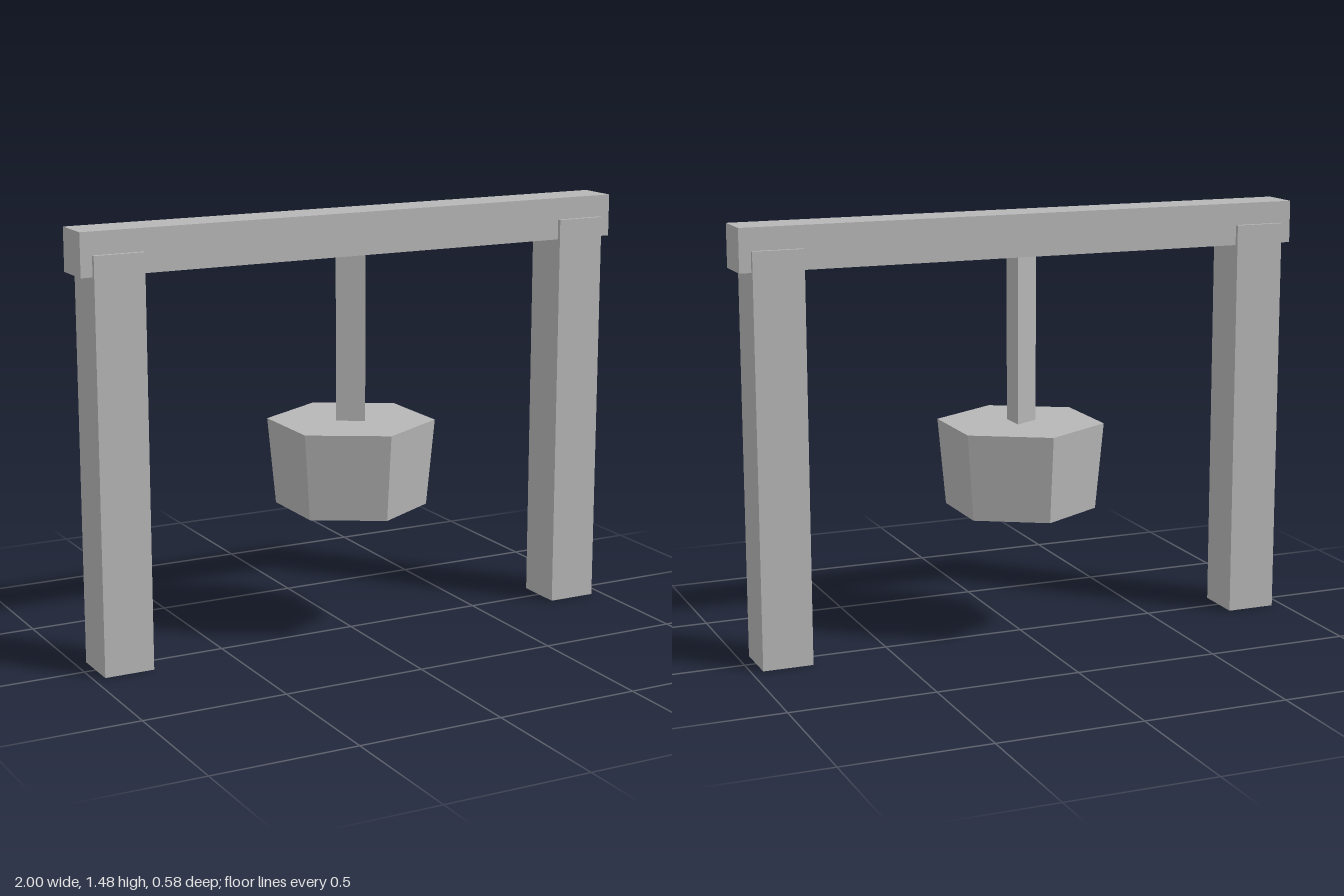
import * as THREE from 'three';

export function createModel() {
  const group = new THREE.Group();
  const grey = new THREE.MeshStandardMaterial({ color: 0xb6b6b6 });
  grey.name = 'grey';
  grey.flatShading = true;

  const add = (name, geometry, x, y, z = 0) => {
    const mesh = new THREE.Mesh(geometry, grey);
    mesh.name = name;
    mesh.position.set(x, y, z);
    group.add(mesh);
    return mesh;
  };

  // Two square posts
  for (const side of [-1, 1]) {
    add(side > 0 ? 'leftPost' : 'rightPost', new THREE.BoxGeometry(0.174, 1.4, 0.174), side * 0.873, 0.7);
  }

  // Crossbeam, slightly narrower than the posts
  add('crossbeam', new THREE.BoxGeometry(2, 0.146, 0.146), 0, 1.403);

  // Three-sided hanging rod, one edge pointing to -x
  const rod = add('hangingRod', new THREE.CylinderGeometry(0.058, 0.058, 0.65, 3), 0, 1.075);
  rod.rotation.y = -Math.PI / 2;

  // Tapered six-sided weight
  add('weight', new THREE.CylinderGeometry(0.289, 0.261, 0.3, 6), 0, 0.602);

  return group;
}
